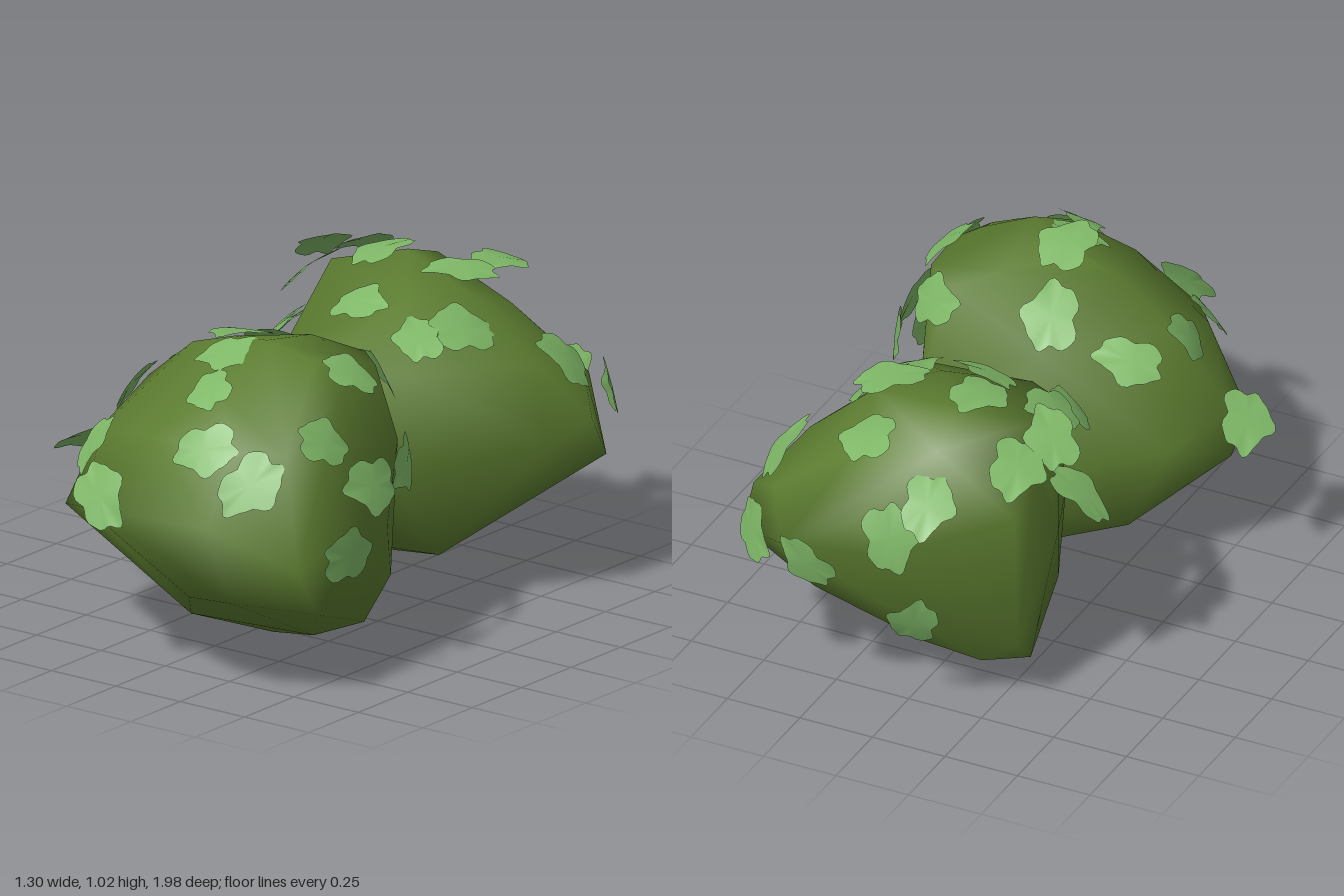
import * as THREE from 'three';
import { mergeVertices } from 'three/addons/utils/BufferGeometryUtils.js';
import { ConvexGeometry } from 'three/addons/geometries/ConvexGeometry.js';

const bushGreen = new THREE.MeshStandardMaterial({ name: 'bushGreen', color: 0x5c7c30, side: THREE.DoubleSide });
const leafGreen = new THREE.MeshStandardMaterial({ name: 'leafGreen', color: 0x7fb867, side: THREE.DoubleSide });

// Corner points of the two lumps
const frontLump = [
  [0.06, 0, 0.28], [0.35, 0.07, 0.2], [0.12, 0.05, 0.07], [0.4, 0.12, 0.52], [0.58, 0.28, 0.74],
  [0.61, 0.45, 0.87], [-0.03, 0.12, 0.58], [-0.15, 0.1, 0.3], [-0.28, 0.18, 0.2], [-0.35, 0.22, 0.4],
  [-0.52, 0.37, 0.43], [-0.51, 0.53, 0.45], [-0.48, 0.4, 0.63], [-0.16, 0.53, 0.94], [0.38, 0.32, 0.91],
  [0.2, 0.3, 0.89], [0.3, 0.55, 0.93], [0.1, 0.3, -0.06], [0.3, 0.16, 0], [0.2, 0.5, -0.01],
  [0.35, 0.62, 0.03], [-0.25, 0.45, 0.1], [-0.4, 0.45, 0.24], [0.44, 0.4, 0.2], [0.57, 0.5, 0.5],
  [0.41, 0.92, 0.22], [0.44, 0.89, 0.44], [0.33, 0.97, 0.42], [0.18, 1.02, 0.47], [0, 0.98, 0.4],
  [0.16, 0.97, 0.22], [0.3, 0.92, 0.13], [-0.05, 0.8, 0.07], [-0.16, 0.93, 0.4], [-0.33, 0.79, 0.4],
  [0.15, 0.9, 0.68], [0.3, 0.77, 0.8], [0, 0.76, 0.81], [0.46, 0.77, 0.74], [-0.33, 0.68, 0.65],
];
const backLump = [
  [-0.06, 0.04, -0.49], [-0.32, 0.13, -0.55], [-0.2, 0.14, -0.65], [-0.33, 0.235, -0.66], [0, 0.17, -0.67],
  [0.28, 0.15, -0.27], [0, 0.14, -0.24], [0.36, 0.27, -0.68], [-0.25, 0.22, -0.22], [-0.21, 0.45, -0.09],
  [0.05, 0.3, -0.05], [-0.03, 0.5, 0.05], [-0.03, 0.72, 0.04], [0.28, 0.5, 0], [0.29, 0.78, -0.09],
  [-0.19, 0.78, -0.1], [0.59, 0.52, -0.42], [0.6, 0.43, -0.7], [0.59, 0.56, -0.64], [0.34, 0.58, -0.95],
  [0.1, 0.71, -0.91], [0, 0.6, -0.9], [-0.15, 0.6, -0.81], [-0.33, 0.7, -0.68], [-0.34, 0.83, -0.55],
  [-0.3, 0.94, -0.48], [-0.08, 0.99, -0.58], [-0.1, 0.93, -0.76], [0.2, 0.83, -0.74], [0.24, 0.92, -0.5],
  [0.1, 0.93, -0.33], [0.45, 0.74, -0.53], [0.45, 0.66, -0.78], [-0.33, 0.5, -0.38],
];

// Leaf positions around each lump
const frontLeaves = [
  [0.03, 1, 0.4], [0.07, 0.96, 0.52], [0.21, 0.76, 0.82], [0.4, 0.69, 0.84], [-0.1, 0.59, 0.96],
  [-0.27, 0.65, 0.7], [-0.36, 0.75, 0.44], [-0.59, 0.54, 0.4], [-0.3, 0.8, 0.17], [-0.04, 0.9, 0.15],
  [0.35, 0.86, 0.12], [0.54, 0.63, 0.23], [0.59, 0.63, 0.46], [0.63, 0.45, 0.63], [0.41, 0.92, 0.36],
  [0.46, 0.76, 0.58], [0.12, 0.9, 0.68],
];
const backLeaves = [
  [0.12, 0.95, -0.79], [0.49, 0.73, -0.65], [0.47, 0.57, -0.9], [0.24, 0.55, -0.98], [-0.36, 0.93, -0.72],
  [-0.4, 0.96, -0.56], [-0.45, 0.72, -0.46], [-0.32, 0.94, -0.38], [-0.27, 0.81, -0.17], [-0.12, 1.01, -0.5],
  [0.18, 1, -0.52], [0.3, 0.86, -0.37], [0.23, 0.83, -0.24], [-0.02, 0.92, -0.25], [-0.07, 0.35, -0.86],
  [-0.12, 0.8, -0.86], [-0.02, 0.68, -0.92],
];

function seeded(seed) {
  return () => (seed = (seed * 16807) % 2147483647) / 2147483647;
}

// Smooth low-poly body wrapped around its corner points
function lumpGeometry(points) {
  const hull = new ConvexGeometry(points.map((p) => new THREE.Vector3(...p)));
  hull.deleteAttribute('normal');
  const g = mergeVertices(hull, 1e-4);
  g.computeVertexNormals();
  g.computeBoundingBox();
  return g;
}

// Thin lobed leaf, arched along its length
function leafGeometry() {
  const g = new THREE.CircleGeometry(1, 40);
  const pos = g.attributes.position;
  for (let i = 1; i < pos.count; i++) {
    const a = Math.atan2(pos.getY(i), pos.getX(i));
    const r = 1 + 0.11 * Math.cos(5 * a) + 0.08 * Math.sin(3 * a + 0.6) + 0.05 * Math.cos(9 * a);
    const x = 0.08 * r * Math.cos(a), y = 0.108 * r * Math.sin(a);
    pos.setXYZ(i, x, y, -1.4 * y * y - 0.6 * x * x);
  }
  g.computeVertexNormals();
  return g;
}

function bush(name, points, leaves, seed) {
  const group = new THREE.Group();
  group.name = name;
  const body = new THREE.Mesh(lumpGeometry(points), bushGreen);
  body.name = name + 'Body';
  group.add(body);

  const rand = seeded(seed);
  const leafGeo = leafGeometry();
  const centre = body.geometry.boundingBox.getCenter(new THREE.Vector3());
  const ray = new THREE.Raycaster();
  const front = new THREE.Vector3(0, 0, 1);
  for (const p of leaves) {
    const dir = new THREE.Vector3(...p).sub(centre);
    const given = dir.length();
    dir.normalize();
    ray.set(centre, dir);
    const hit = ray.intersectObject(body)[0];
    const normal = hit.face.normal.clone();
    if (normal.dot(dir) < 0) normal.negate();
    normal.addScaledVector(dir, 0.4);
    // High leaves that stand off the body spread out flat, the rest lie along it
    if (given - hit.distance > 0.06 && p[1] > 0.5 && p[0] < 0.2) normal.y += 1.1;

    const leaf = new THREE.Mesh(leafGeo, leafGreen);
    leaf.name = 'leaf';
    leaf.position.copy(centre).addScaledVector(dir, Math.max(given, hit.distance + 0.025));
    leaf.quaternion.setFromUnitVectors(front, normal.normalize());
    leaf.rotateZ(rand() * Math.PI * 2);
    leaf.rotateX((rand() - 0.5) * 0.2);
    leaf.scale.setScalar(0.87 + rand() * 0.2);
    group.add(leaf);
  }
  return group;
}

export function createModel() {
  const model = new THREE.Group();
  model.name = 'leafyBush';
  model.add(bush('frontBush', frontLump, frontLeaves, 17));
  model.add(bush('backBush', backLump, backLeaves, 91));
  return model;
}
